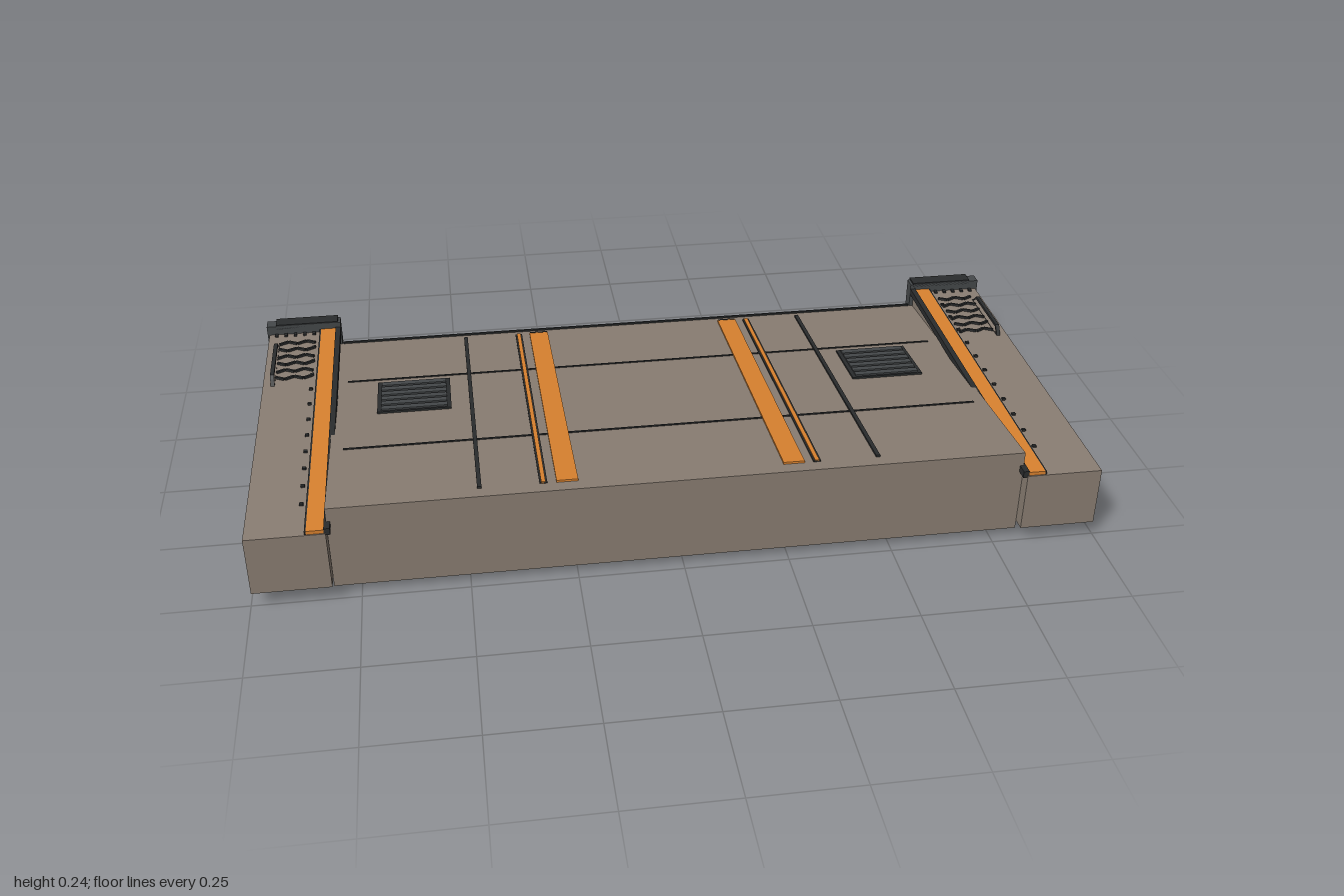
import * as THREE from 'three';

const mat = (name, hex, extra = {}) => {
  const m = new THREE.MeshStandardMaterial({ color: hex, ...extra });
  m.name = name;
  return m;
};

export function createModel() {
  const taupe = mat('taupe paint', 0x8a7e73);
  const orange = mat('orange paint', 0xd9822f);
  const dark = mat('dark trim', 0x2a2c2d);
  const slate = mat('slate metal', 0x45484a);
  const cream = mat('lamp glass', 0xd6d0bc);

  const model = new THREE.Group();
  model.name = 'vehicleHood';

  // Box given by its extents on each axis
  const box = (parent, name, m, [x0, x1], [y0, y1], [z0, z1]) => {
    const mesh = new THREE.Mesh(new THREE.BoxGeometry(x1 - x0, y1 - y0, z1 - z0), m);
    mesh.position.set((x0 + x1) / 2, (y0 + y1) / 2, (z0 + z1) / 2);
    mesh.name = name;
    parent.add(mesh);
    return mesh;
  };

  // Side profile in (z, y), extruded along x from x0 to x1
  const sideExtrude = (parent, name, m, shape, x0, x1) => {
    const geo = new THREE.ExtrudeGeometry(shape, { depth: x1 - x0, bevelEnabled: false });
    geo.rotateY(-Math.PI / 2);
    geo.translate(x1, 0, 0);
    const mesh = new THREE.Mesh(geo, m);
    mesh.name = name;
    parent.add(mesh);
  };
  const poly = (pts) => new THREE.Shape(pts.map(([z, y]) => new THREE.Vector2(z, y)));

  // Wedge shaped central hood
  const slope = 0.0946, yMid = 0.1896;
  sideExtrude(model, 'hoodBody', taupe,
    poly([[-0.455, 0.02], [0.478, 0.02], [0.478, yMid + 0.478 * slope], [-0.455, yMid - 0.455 * slope]]),
    -0.812, 0.812);

  // Bumper bar
  box(model, 'bumper', slate, [-1, 1], [0, 0.04], [-0.51, -0.46]);

  // Details lying on the sloped hood
  const deck = new THREE.Group();
  deck.name = 'hoodDetails';
  deck.position.y = yMid;
  deck.rotation.x = -Math.atan(slope);
  model.add(deck);
  for (const z of [-0.195, 0.193])
    box(deck, 'crossSeam', dark, [-0.78, 0.78], [0, 0.002], [z - 0.003, z + 0.003]);
  box(deck, 'rearSeam', dark, [-0.8, 0.8], [-0.002, 0.004], [-0.461, -0.453]);

  for (const s of [-1, 1]) {
    const span = (a, b) => (s > 0 ? [a, b] : [-b, -a]);
    const len = [-0.43, 0.442];
    box(deck, 'wideStripe', orange, span(0.24, 0.29), [0, 0.005], len);
    box(deck, 'stripeEndCap', dark, span(0.242, 0.288), [0, 0.006], [-0.433, -0.428]);
    box(deck, 'thinStripeEdging', dark, span(0.311, 0.329), [0, 0.003], len);
    box(deck, 'thinStripe', orange, span(0.315, 0.325), [0, 0.005], len);
    box(deck, 'longSeam', dark, span(0.461, 0.471), [0, 0.005], len);

    // Louvred vent
    box(deck, 'ventPanel', dark, span(0.517, 0.702), [0, 0.005], [-0.167, 0.01]);
    for (let i = 0; i < 6; i++) {
      const z = -0.149 + i * 0.0285;
      box(deck, 'ventSlat', slate, span(0.527, 0.692), [0.004, 0.009], [z - 0.01, z + 0.01]);
    }
  }

  // One fender, built on +x and mirrored by position
  for (const s of [-1, 1]) {
    const fender = new THREE.Group();
    fender.name = s > 0 ? 'leftFender' : 'rightFender';
    model.add(fender);
    const span = (a, b) => (s > 0 ? [a, b] : [-b, -a]);
    const top = 0.188;

    box(fender, 'fenderBody', taupe, span(0.813, 0.995), [0.04, top], [-0.46, 0.508]);
    box(fender, 'innerTrim', dark, span(0.803, 0.817), [0.183, 0.2], [-0.455, 0.505]);
    box(fender, 'fenderStripe', orange, span(0.817, 0.856), [top, 0.197], [-0.455, 0.505]);
    box(fender, 'outerTrim', dark, span(0.856, 0.86), [top, 0.196], [-0.455, 0.505]);

    // Rivets beside the stripe and behind the lamps
    for (let i = 0; i < 11; i++) {
      const z = 0.385 - i * 0.075;
      box(fender, 'rivet', dark, span(0.867, 0.876), [top, 0.193], [z - 0.004, z + 0.004]);
    }
    for (let i = 0; i < 5; i++) {
      const x = 0.875 + i * 0.025;
      box(fender, 'rivet', dark, span(x - 0.004, x + 0.004), [top, 0.193], [-0.448, -0.436]);
    }

    // Zigzag grip strips
    for (let row = 0; row < 6; row++) {
      for (let i = 0; i < 4; i++) {
        const x = 0.881 + i * 0.024, z = -0.395 + row * 0.038;
        const bar = box(fender, 'gripStrip', dark, span(x - 0.0125, x + 0.0125),
          [top, 0.194], [z - 0.003, z + 0.003]);
        bar.rotation.y = ((i + row) % 2 ? 1 : -1) * 0.5;
      }
    }

    // Raised side rail
    const rail = poly([[-0.385, top], [-0.365, 0.203], [-0.357, 0.212], [-0.188, 0.212],
      [-0.18, 0.203], [-0.17, top]]);
    rail.holes.push(new THREE.Path([[-0.375, 0.19], [-0.355, 0.205], [-0.19, 0.205], [-0.18, 0.19]]
      .map(([z, y]) => new THREE.Vector2(z, y))));
    const [r0, r1] = span(0.965, 0.975);
    sideExtrude(fender, 'sideRail', dark, rail, r0, r1);

    // Headlight cluster
    const lights = new THREE.Group();
    lights.name = 'headlightCluster';
    fender.add(lights);
    box(lights, 'lampHousing', slate, span(0.803, 1), [0.125, 0.213], [-0.485, -0.452]);
    box(lights, 'lampBrow', dark, span(0.81, 0.975), [0.204, 0.217], [-0.49, -0.452]);
    box(lights, 'lampBezel', dark, span(0.808, 0.98), [0.133, 0.208], [-0.492, -0.485]);
    box(lights, 'turnSignal', orange, span(0.978, 0.999), [0.14, 0.195], [-0.495, -0.484]);
    box(lights, 'signalTrim', dark, span(0.978, 0.997), [0.195, 0.206], [-0.493, -0.484]);
    for (const x of [0.853, 0.932]) {
      const ring = new THREE.Mesh(new THREE.TorusGeometry(0.034, 0.004, 8, 28), slate);
      ring.position.set(s * x, 0.169, -0.493);
      ring.name = 'lampRing';
      const lens = new THREE.Mesh(new THREE.CylinderGeometry(0.028, 0.033, 0.008, 28), cream);
      lens.rotation.x = -Math.PI / 2;
      lens.position.set(s * x, 0.169, -0.495);
      lens.name = 'lampLens';
      lights.add(ring, lens);
    }
  }
  return model;
}
